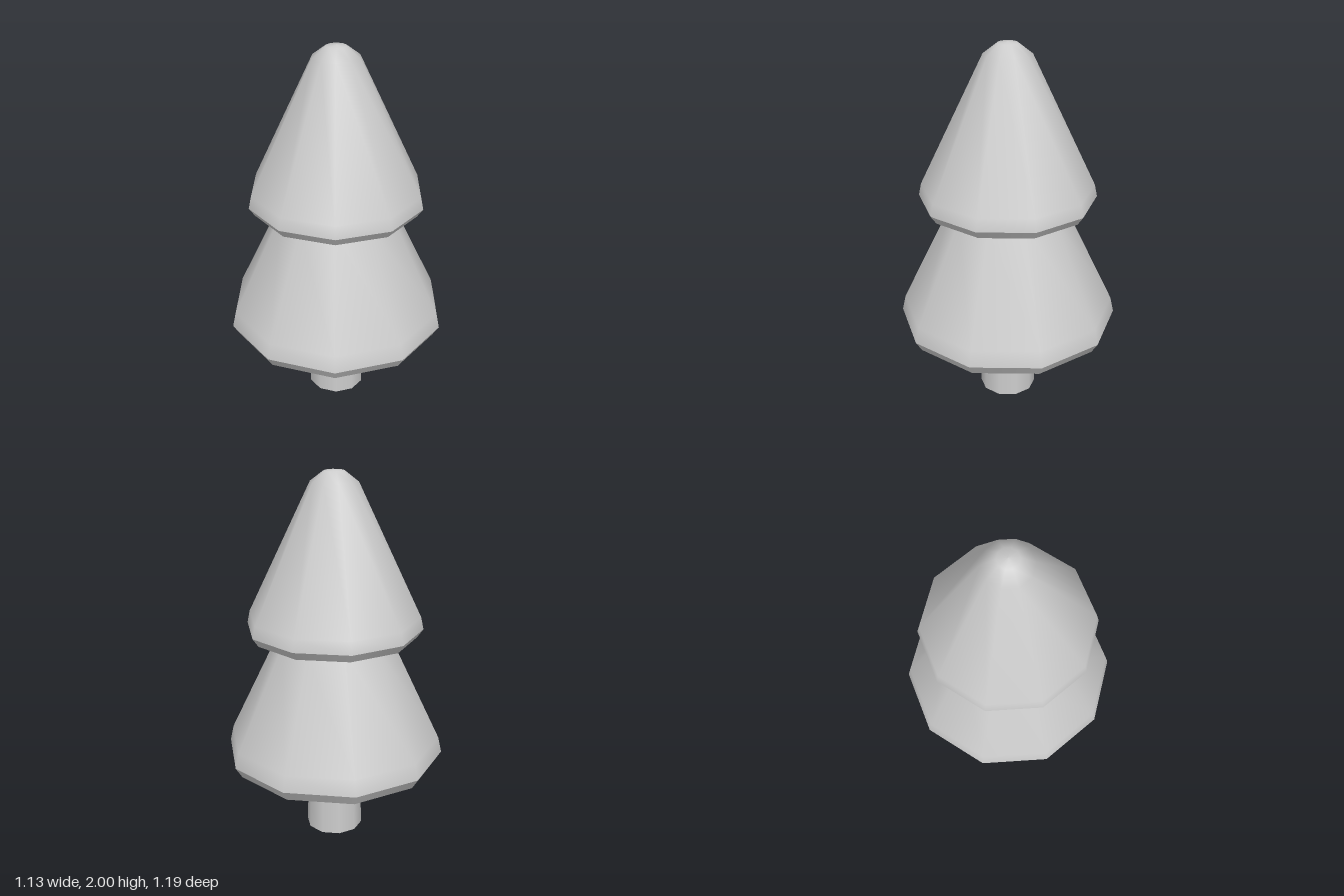
import * as THREE from 'three';

const SIDES = 10;
const material = new THREE.MeshStandardMaterial({ color: 0xcccccc });

// A turned ten-sided part; each profile strip is smooth, with sharp edges between strips.
// Profiles are [radius, height], running from the bottom up.
function turned(name, strips) {
  const group = new THREE.Group();
  group.name = name;
  for (const [label, profile] of Object.entries(strips)) {
    const points = profile.map(([r, y]) => new THREE.Vector2(r, y));
    const mesh = new THREE.Mesh(new THREE.LatheGeometry(points, SIDES), material);
    mesh.name = label;
    group.add(mesh);
  }
  return group;
}

export function createModel() {
  const tree = new THREE.Group();
  tree.name = 'tree';

  // Slightly tapered trunk with a flat foot
  tree.add(turned('trunk', {
    trunkBase: [[0, 0], [0.155, 0]],
    trunkBark: [[0.155, 0], [0.144, 0.395]],
  }));

  // Wide lower branches, ending where the upper tier begins
  tree.add(turned('lowerBranches', {
    lowerUnderside: [[0.144, 0.395], [0.557, 0.417]],
    lowerRim: [[0.557, 0.417], [0.593, 0.475]],
    lowerSlope: [[0.593, 0.475], [0.574, 0.56], [0.305, 1.12]],
  }));

  // Smaller upper branches with a rounded tip
  tree.add(turned('upperBranches', {
    upperUnderside: [[0.305, 1.12], [0.44, 1.135]],
    upperRim: [[0.44, 1.135], [0.471, 1.18]],
    upperSlope: [[0.471, 1.18], [0.457, 1.245], [0.124, 1.94], [0.054, 1.993], [0, 2]],
  }));

  return tree;
}
